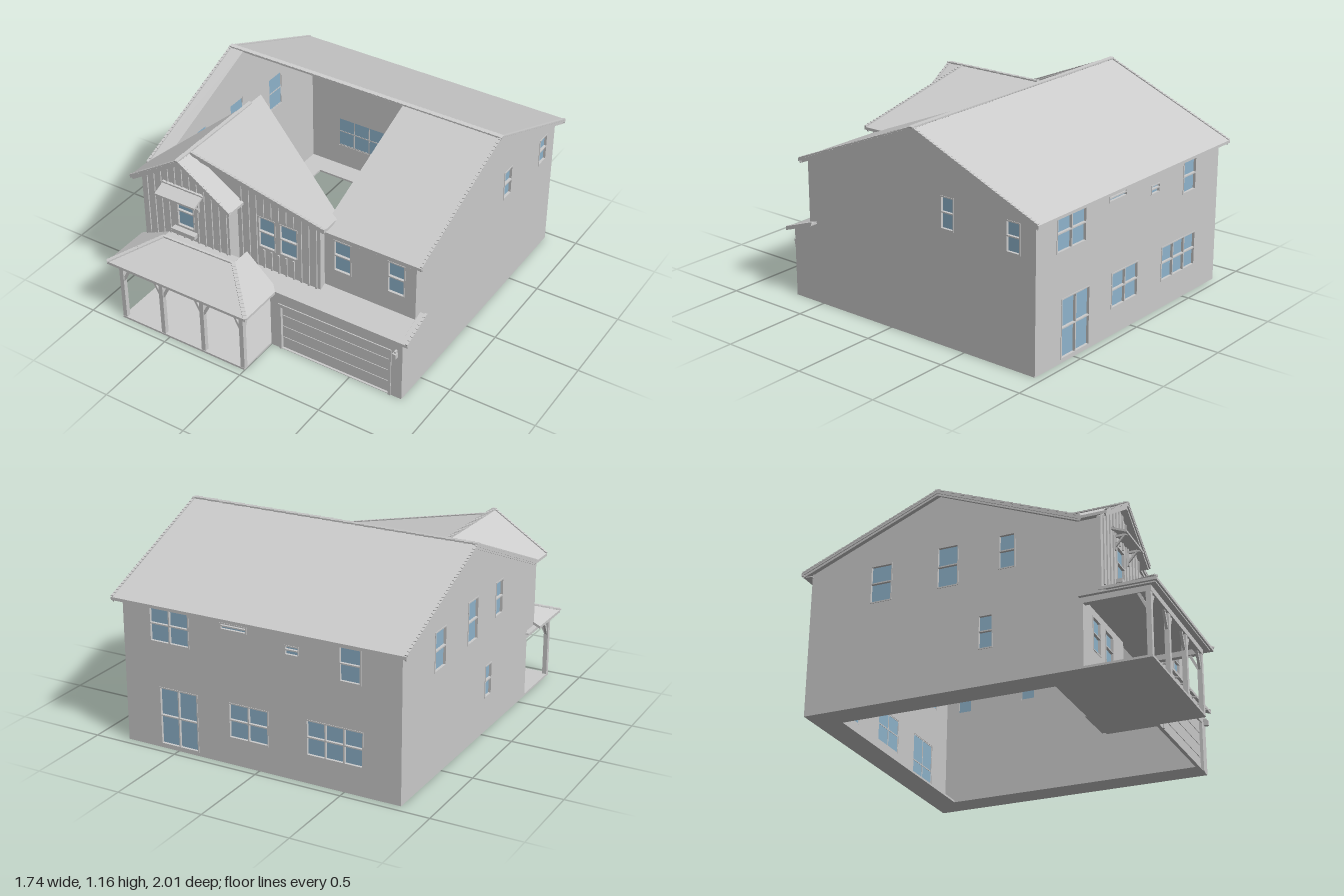
import * as THREE from 'three';

const mat = new THREE.MeshStandardMaterial({ color: 0xcccccc, side: THREE.DoubleSide });
const glassMat = new THREE.MeshStandardMaterial({ color: 0x8fb4cc, side: THREE.DoubleSide });
const V = (p) => new THREE.Vector3(...p);

function add(parent, name, geometry, material = mat) {
  const m = new THREE.Mesh(geometry, material);
  m.name = name;
  parent.add(m);
  return m;
}

// box given by its min and max corners
function box(parent, name, [x0, y0, z0], [x1, y1, z1], material) {
  const m = add(parent, name, new THREE.BoxGeometry(x1 - x0, y1 - y0, z1 - z0), material);
  m.position.set((x0 + x1) / 2, (y0 + y1) / 2, (z0 + z1) / 2);
  return m;
}

// rectangular bar between two points
function beam(parent, name, a, b, w, h) {
  const p = V(a), q = V(b);
  const m = add(parent, name, new THREE.BoxGeometry(w, h, p.distanceTo(q)));
  m.position.copy(p).lerp(q, 0.5);
  m.lookAt(q);
  return m;
}

// row of overlapping cap tiles along a ridge, hip or rake
function caps(parent, name, a, b, w = 0.022) {
  const p = V(a), q = V(b), n = Math.round(p.distanceTo(q) / 0.025);
  for (let i = 0; i < n; i++) {
    const s = p.clone().lerp(q, i / n), e = p.clone().lerp(q, (i + 1.15) / n);
    s.y += 0.004;
    beam(parent, name, s.toArray(), e.toArray(), w, 0.008);
  }
}

// sloping roof panel: polygon of top points, thickened downwards
function panel(parent, name, pts, t = 0.016) {
  let up = 0;
  pts.forEach((p, i) => {
    const q = pts[(i + 1) % pts.length];
    up += p[2] * q[0] - p[0] * q[2];
  });
  const top = up > 0 ? pts : [...pts].reverse();
  const low = top.map(([x, y, z]) => [x, y - t, z]);
  const pos = [], n = top.length;
  for (let i = 1; i < n - 1; i++) {
    pos.push(...top[0], ...top[i], ...top[i + 1], ...low[0], ...low[i + 1], ...low[i]);
  }
  for (let i = 0; i < n; i++) {
    const j = (i + 1) % n;
    pos.push(...top[i], ...low[i], ...low[j], ...top[i], ...low[j], ...top[j]);
  }
  const g = new THREE.BufferGeometry();
  g.setAttribute('position', new THREE.Float32BufferAttribute(pos, 3));
  g.computeVertexNormals();
  add(parent, name, g);
}

// wall facing along 'angle' with its outer face at distance d; windows are [u0, v0, u1, v1, panes]
function wall(parent, name, angle, d, outline, windows = [], doors = []) {
  const group = new THREE.Group();
  group.name = name;
  group.rotation.y = angle;
  parent.add(group);
  const shape = new THREE.Shape(outline.map((p) => new THREE.Vector2(...p)));
  for (const [a, b, c, e] of [...windows, ...doors]) {
    shape.holes.push(new THREE.Path([[a, b], [a, e], [c, e], [c, b]].map((p) => new THREE.Vector2(...p))));
  }
  const g = new THREE.ExtrudeGeometry(shape, { depth: 0.02, bevelEnabled: false });
  add(group, name + 'Panel', g).position.z = d - 0.02;
  for (const [a, b, c, e, panes = 1] of windows) {
    box(group, 'windowGlass', [a, b, d - 0.016], [c, e, d - 0.012], glassMat);
    const w = 0.007, mid = (b + e) / 2;
    for (const y of [b, mid, e - w]) box(group, 'windowRail', [a, y, d - 0.018], [c, y + w, d + 0.003]);
    for (let i = 0; i <= panes; i++) {
      const x = a + (c - a - w) * i / panes;
      box(group, 'windowStile', [x, b, d - 0.018], [x + w, e, d + 0.003]);
    }
  }
  return group;
}

const rect = (a, b, c, e) => [[a, b], [c, b], [c, e], [a, e]];

export function createModel() {
  const house = new THREE.Group();
  house.name = 'house';

  // floor rim and porch slab
  box(house, 'floorRimLeft', [-0.82, 0, -0.955], [-0.67, 0.012, 0.4]);
  box(house, 'floorRimRight', [0.67, 0, -0.81], [0.82, 0.012, 0.68]);
  box(house, 'floorRimBack', [-0.67, 0, -0.955], [0.82, 0.012, -0.81]);
  box(house, 'porchSlab', [-0.82, 0, 0.39], [0, 0.012, 0.955]);

  // outer walls
  const H = Math.PI / 2;
  wall(house, 'backWall', Math.PI, 0.955, rect(-0.82, 0, 0.82, 0.825), [
    [-0.61, 0.02, -0.37, 0.35, 2], [-0.18, 0.15, 0.06, 0.35, 2], [0.28, 0.155, 0.61, 0.355, 3],
    [-0.655, 0.6, -0.41, 0.8, 2], [-0.22, 0.745, -0.06, 0.785], [0.16, 0.68, 0.245, 0.735], [0.47, 0.6, 0.595, 0.79]]);
  wall(house, 'leftGableWall', -H, 0.82,
    [[-0.955, 0], [0.6, 0], [0.6, 0.805], [-0.2, 1.135], [-0.955, 0.82]],
    [[-0.6, 0.58, -0.47, 0.8], [-0.21, 0.59, -0.085, 0.83], [0.14, 0.63, 0.235, 0.83], [0.03, 0.2, 0.115, 0.39]]);
  wall(house, 'rightGableWall', H, 0.82,
    [[-0.7, 0], [0.955, 0], [0.955, 0.82], [0.2, 1.135], [-0.58, 0.81], [-0.58, 0.43], [-0.7, 0.4]],
    [[0.35, 0.64, 0.44, 0.82], [0.77, 0.62, 0.86, 0.79]]);
  wall(house, 'upperFrontWall', 0, 0.58, rect(0.27, 0.42, 0.82, 0.815),
    [[0.325, 0.57, 0.435, 0.77], [0.65, 0.57, 0.755, 0.77]]);

  // ground floor front: porch wall, entry recess and garage
  wall(house, 'porchWall', 0, 0.6, rect(-0.82, 0, -0.25, 0.4),
    [[-0.69, 0.155, -0.58, 0.345], [-0.515, 0.155, -0.4, 0.345]]);
  wall(house, 'entryLeftWall', H, -0.25, rect(-0.6, 0, -0.4, 0.4));
  wall(house, 'entryBackWall', 0, 0.4, rect(-0.25, 0, 0, 0.4), [], [[-0.19, 0.012, -0.06, 0.31]]);
  box(house, 'frontDoor', [-0.19, 0.012, 0.384], [-0.06, 0.31, 0.392]);
  wall(house, 'garageInnerWall', -H, 0, rect(0.4, 0, 0.69, 0.4));
  wall(house, 'garageFront', 0, 0.7, rect(0, 0, 0.82, 0.4), [], [[0.07, 0.003, 0.74, 0.305]]);
  for (let i = 0; i < 4; i++) {
    box(house, 'garageDoorSection', [0.07, 0.004 + i * 0.075, 0.676], [0.74, 0.075 + i * 0.075, 0.688]);
  }
  for (const x of [0.055, 0.74]) box(house, 'garageDoorTrim', [x, 0, 0.7], [x + 0.015, 0.305, 0.706]);
  box(house, 'garageDoorHeader', [0.055, 0.29, 0.7], [0.755, 0.31, 0.706]);
  box(house, 'wallLamp', [0.775, 0.285, 0.705], [0.797, 0.315, 0.73]);
  box(house, 'wallLampArm', [0.781, 0.315, 0.7], [0.791, 0.327, 0.72]);

  // projecting gable bay and the wider battened bay behind it
  wall(house, 'gableBayWall', 0, 0.7,
    [[-0.82, 0.4], [-0.25, 0.4], [-0.25, 0.825], [-0.535, 1.012], [-0.82, 0.825]], [[-0.595, 0.57, -0.48, 0.77]]);
  wall(house, 'gableBayLeft', -H, 0.82, rect(0.58, 0.4, 0.7, 0.815));
  wall(house, 'gableBayRight', H, -0.25, rect(-0.7, 0.4, -0.6, 0.82));
  wall(house, 'wideBayWall', 0, 0.62,
    [[-0.25, 0.43], [0.27, 0.43], [0.27, 0.845], [-0.535, 1.015], [-0.535, 0.95], [-0.25, 0.79]],
    [[-0.12, 0.57, -0.01, 0.77], [0.015, 0.57, 0.13, 0.77]]);
  wall(house, 'wideBayRight', H, 0.27, rect(-0.62, 0.43, -0.5, 0.845));

  // vertical battens, broken around the windows
  const batten = (x, z, y0, y1, wx0, wx1) => {
    const spans = x > wx0 && x < wx1 ? [[y0, 0.56], [0.78, y1]] : [[y0, y1]];
    for (const [a, b] of spans) box(house, 'batten', [x - 0.005, a, z], [x + 0.005, b, z + 0.007]);
  };
  for (let i = 0; i < 12; i++) {
    const x = -0.785 + i * 0.047;
    batten(x, 0.7, 0.45, 1.005 - 0.65 * Math.abs(x + 0.535), -0.61, -0.465);
  }
  for (let i = 0; i < 11; i++) {
    const x = -0.225 + i * 0.047;
    batten(x, 0.62, 0.44, 0.9 - 0.212 * (x - 0), -0.13, 0.14);
  }

  // window hood, its brackets, and the planter below
  panel(house, 'windowHood', [[-0.67, 0.835, 0.7], [-0.41, 0.835, 0.7], [-0.41, 0.8, 0.785], [-0.67, 0.8, 0.785]], 0.012);
  caps(house, 'hoodRidge', [-0.67, 0.833, 0.71], [-0.41, 0.833, 0.71], 0.014);
  for (const x of [-0.635, -0.445]) {
    box(house, 'hoodBracketPost', [x - 0.006, 0.715, 0.7], [x + 0.006, 0.815, 0.714]);
    box(house, 'hoodBracketArm', [x - 0.006, 0.787, 0.7], [x + 0.006, 0.799, 0.775]);
    beam(house, 'hoodBracketBrace', [x, 0.73, 0.705], [x, 0.792, 0.76], 0.01, 0.01);
  }
  box(house, 'planter', [-0.615, 0.54, 0.7], [-0.46, 0.562, 0.735]);
  for (const x of [-0.59, -0.49]) box(house, 'planterBracket', [x, 0.522, 0.7], [x + 0.012, 0.54, 0.722]);

  // main roof: full back slope, two partial front slopes
  const R = 1.152, E = 0.822, X = 0.862;
  panel(house, 'backRoof', [[-X, R, -0.2], [X, R, -0.2], [X, E, -1], [-X, E, -1]]);
  panel(house, 'frontRoofRight', [[0.27, R, -0.2], [X, R, -0.2], [X, E, 0.61], [0.27, E, 0.61]]);
  panel(house, 'frontRoofLeft', [[-X, R, -0.2], [-0.77, R, -0.2], [-0.77, 0.885, 0.45], [-X, E, 0.6]]);
  caps(house, 'mainRidge', [-X, R, -0.2], [X, R, -0.2], 0.028);
  for (const x of [-0.857, 0.857]) {
    for (const z of [-0.995, 0.605]) {
      caps(house, 'rakeTiles', [x, E, z], [x, R, -0.2], 0.014);
      beam(house, 'rakeBoard', [x * 0.995, E - 0.016, z], [x * 0.995, R - 0.016, -0.2], 0.008, 0.022);
    }
  }
  box(house, 'backFascia', [-X, 0.803, -0.995], [X, 0.815, -0.985]);
  box(house, 'backSoffit', [-0.84, 0.803, -0.99], [0.84, 0.809, -0.95]);
  box(house, 'frontFascia', [0.27, 0.8, 0.592], [X, 0.815, 0.6]);

  // front gable roofs
  const P = 1.034, px = -0.535;
  panel(house, 'gableRoofLeft', [[px, P, 0.08], [px, P, 0.75], [-X, E, 0.75], [-X, E, 0.6]]);
  panel(house, 'gableRoofRight', [[px, P - 0.004, 0.6], [px, P - 0.004, 0.75], [-0.21, 0.82, 0.75], [-0.21, 0.82, 0.6]]);
  panel(house, 'wideBayRoof', [[px, P, -0.02], [px, P, 0.645], [0.31, 0.857, 0.645], [0.31, 0.857, 0.5]]);
  caps(house, 'gableRidge', [px, P, 0.08], [px, P, 0.75]);
  caps(house, 'gableRakeTiles', [-X, E, 0.745], [px, P, 0.745], 0.014);
  caps(house, 'gableRakeTiles', [-0.21, 0.82, 0.745], [px, P, 0.745], 0.014);
  caps(house, 'bayRakeTiles', [0.31, 0.857, 0.64], [px, P, 0.64], 0.014);
  for (const [a, b, z] of [[-0.855, 0.808, 0.738], [-0.215, 0.805, 0.738], [0.3, 0.84, 0.633]]) {
    beam(house, 'gableBargeBoard', [a, b, z], [px, P - 0.02, z], 0.008, 0.024);
  }

  // lean-to roof above the garage
  panel(house, 'garageRoof', [[-0.2, 0.46, 0.57], [0.82, 0.46, 0.57], [0.82, 0.402, 0.725], [-0.2, 0.402, 0.725]]);
  panel(house, 'garageRoofEnd', [[0.82, 0.472, 0.53], [X, 0.472, 0.53], [X, 0.402, 0.725], [0.82, 0.402, 0.725]]);
  caps(house, 'garageRakeTiles', [0.855, 0.402, 0.725], [0.855, 0.472, 0.53], 0.014);
  for (let i = 0; i < 8; i++) {
    const x = 0.09 + i * 0.1;
    box(house, 'garageRafterEnd', [x - 0.005, 0.382, 0.7], [x + 0.005, 0.392, 0.722]);
    if (x > 0.3) box(house, 'roofRafterEnd', [x - 0.005, 0.792, 0.58], [x + 0.005, 0.802, 0.6]);
  }

  // porch hip roof
  const A = [-X, 0.402, 0.998], B = [0.05, 0.402, 0.998], C = [-0.2, 0.5, 0.745], D = [-0.655, 0.5, 0.755];
  panel(house, 'porchRoofFront', [A, B, C, D]);
  panel(house, 'porchRoofCrown', [C, D, [-0.655, 0.502, 0.69], [-0.2, 0.502, 0.69]]);
  panel(house, 'porchRoofLeft', [A, D, [-0.655, 0.5, 0.69], [-X, 0.402, 0.69]]);
  panel(house, 'porchRoofRight', [B, C, [-0.2, 0.5, 0.62], [0.05, 0.402, 0.7]]);
  caps(house, 'porchHipTiles', A, D);
  caps(house, 'porchHipTiles', B, C);
  caps(house, 'porchTopTiles', D, C, 0.014);
  box(house, 'porchCeiling', [-0.84, 0.383, 0.58], [0.03, 0.39, 0.985]);

  // porch beams, posts and braces
  box(house, 'porchFrontBeam', [-0.82, 0.352, 0.925], [0, 0.385, 0.955]);
  for (const x of [-0.82, -0.03]) box(house, 'porchSideBeam', [x, 0.352, 0.6], [x + 0.03, 0.385, 0.925]);
  const posts = [-0.807, -0.54, -0.27, -0.013];
  posts.forEach((x, i) => {
    box(house, 'porchPost', [x - 0.013, 0.012, 0.927], [x + 0.013, 0.355, 0.953]);
    for (const s of [-1, 1]) {
      if ((i === 0 && s < 0) || (i === 3 && s > 0)) continue;
      beam(house, 'porchBrace', [x + s * 0.008, 0.265, 0.94], [x + s * 0.055, 0.358, 0.94], 0.014, 0.014);
    }
    if (i % 3 === 0) beam(house, 'porchSideBrace', [x, 0.265, 0.932], [x, 0.358, 0.885], 0.014, 0.014);
  });
  return house;
}
